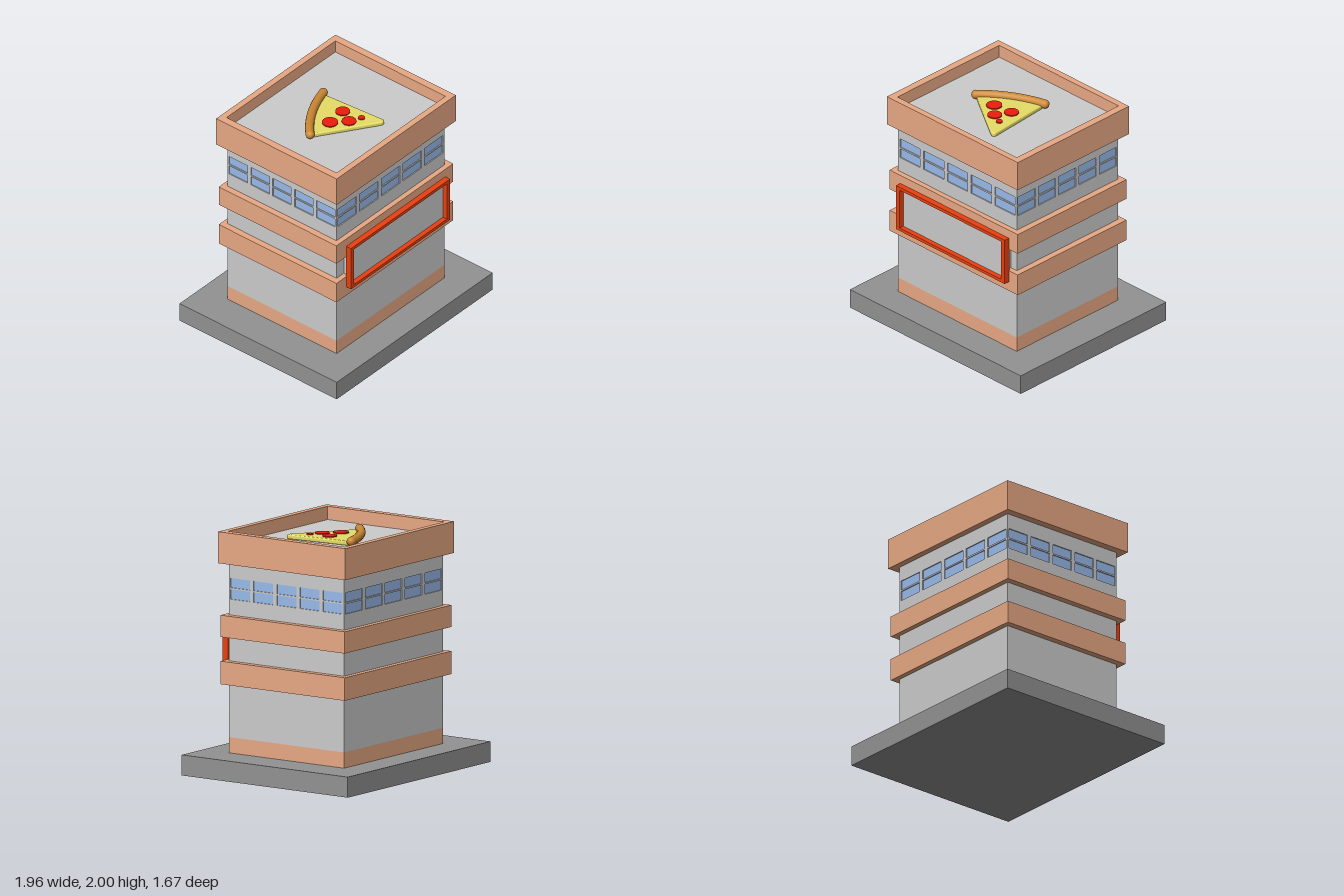
import * as THREE from 'three';

const mat = (color) => new THREE.MeshStandardMaterial({ color });
const GREY = mat(0xcccccc), TERRACOTTA = mat(0xe8a984), STONE = mat(0x929292), GLASS = mat(0x99bbec);
const RED = mat(0xec400f), CRUST = mat(0xcc8833), CHEESE = mat(0xe6dd66), SALAMI = mat(0xec1c0e);

export function createModel() {
  const model = new THREE.Group();
  model.name = 'pizzaTower';

  const add = (parent, name, geometry, material, x = 0, y = 0, z = 0) => {
    const mesh = new THREE.Mesh(geometry, material);
    mesh.name = name;
    mesh.position.set(x, y, z);
    parent.add(mesh);
    return mesh;
  };
  // Box centred on the y axis, given half sizes and height range
  const block = (name, hx, hz, y0, y1, material) =>
    add(model, name, new THREE.BoxGeometry(hx * 2, y1 - y0, hz * 2), material, 0, (y0 + y1) / 2, 0);
  const rect = (path, x0, y0, x1, y1) => {
    path.moveTo(x0, y0).lineTo(x1, y0).lineTo(x1, y1).lineTo(x0, y1).closePath();
    return path;
  };
  // Flat plate with rectangular openings, extruded along +z
  const plate = (outer, holes, depth) => {
    const shape = rect(new THREE.Shape(), ...outer);
    for (const h of holes) shape.holes.push(rect(new THREE.Path(), ...h));
    return new THREE.ExtrudeGeometry(shape, { depth, bevelEnabled: false });
  };

  // Ground slab, plinth and tower
  const HX = 0.68, HZ = 0.58, RECESS = 0.012;
  block('groundSlab', 0.98, 0.835, 0, 0.17, STONE);
  block('plinth', HX, HZ, 0.17, 0.3, TERRACOTTA);
  block('lowerWalls', HX, HZ, 0.3, 1.35, GREY);
  block('upperCore', HX - RECESS, HZ - RECESS, 1.35, 1.8, GREY);
  block('lowerBand', 0.735, 0.625, 0.74, 0.93, TERRACOTTA);
  block('upperBand', 0.735, 0.625, 1.13, 1.31, TERRACOTTA);

  // Window storey: four pierced walls with recessed panes
  const windowWall = (name, half, dist, pitch, width, angle) => {
    const wall = new THREE.Group();
    wall.name = name;
    const openings = [];
    for (let i = -2; i <= 2; i++) {
      for (const [y0, y1] of [[1.44, 1.522], [1.535, 1.615]]) {
        openings.push([i * pitch - width / 2, y0, i * pitch + width / 2, y1]);
        add(wall, 'windowPane', new THREE.BoxGeometry(width, y1 - y0, 0.006), GLASS,
          i * pitch, (y0 + y1) / 2, dist - RECESS);
      }
    }
    add(wall, 'windowSurround', plate([-half, 1.35, half, 1.8], openings, RECESS), GREY, 0, 0, dist - RECESS);
    wall.rotation.y = angle;
    model.add(wall);
  };
  windowWall('frontWindows', HX, HZ, 0.272, 0.232, 0);
  windowWall('backWindows', HX, HZ, 0.272, 0.232, Math.PI);
  windowWall('leftWindows', HZ - RECESS, HX, 0.233, 0.197, Math.PI / 2);
  windowWall('rightWindows', HZ - RECESS, HX, 0.233, 0.197, -Math.PI / 2);

  // Roof and parapet
  const ROOF = 1.89;
  block('roof', 0.69, 0.59, 1.745, ROOF, GREY);
  add(model, 'parapet', plate([-0.75, -0.64, 0.75, 0.64], [[-0.685, -0.585, 0.685, 0.585]], 0.26),
    TERRACOTTA, 0, 1.74, 0).rotation.x = -Math.PI / 2;

  // Framed sign board on the front
  const sign = new THREE.Group();
  sign.name = 'signBoard';
  model.add(sign);
  add(sign, 'signFrame', plate([-0.61, 0.825, 0.635, 1.235], [[-0.57, 0.852, 0.595, 1.207]], 0.055), RED, 0, 0, 0.62);
  add(sign, 'signPanel', new THREE.BoxGeometry(1.2, 0.38, 0.055), GREY, 0.0125, 1.03, 0.605);

  // Pizza slice lying on the roof
  const pizza = new THREE.Group();
  pizza.name = 'pizzaSlice';
  pizza.position.y = ROOF;
  model.add(pizza);

  // Cheese wedge drawn in x and -z, with a rounded tip and edges
  const wedge = new THREE.Shape();
  wedge.moveTo(-0.31, -0.03).lineTo(0.155, -0.338);
  wedge.quadraticCurveTo(0.19, -0.36, 0.185, -0.32);
  wedge.lineTo(0.14, 0.24);
  wedge.quadraticCurveTo(-0.13, 0.16, -0.31, -0.03);
  add(pizza, 'cheese', new THREE.ExtrudeGeometry(wedge, {
    depth: 0.015, bevelThickness: 0.012, bevelSize: 0.012, bevelSegments: 4, curveSegments: 12,
  }), CHEESE, 0, 0.01, 0).rotation.x = -Math.PI / 2;

  // Curved crust with rounded ends
  const R = 0.037;
  const arc = new THREE.QuadraticBezierCurve3(
    new THREE.Vector3(-0.35, 0.04, 0.02), new THREE.Vector3(-0.14, 0.04, -0.19), new THREE.Vector3(0.157, 0.04, -0.267));
  add(pizza, 'crust', new THREE.TubeGeometry(arc, 24, R, 16), CRUST);
  for (const t of [0, 1]) {
    const p = arc.getPoint(t);
    add(pizza, 'crustEnd', new THREE.SphereGeometry(R, 16, 12), CRUST, p.x, p.y, p.z);
  }

  // Salami discs
  for (const [x, z, r] of [[-0.12, 0.038, 0.065], [0.06, 0.02, 0.06], [-0.008, 0.145, 0.06], [0.092, 0.193, 0.028]]) {
    add(pizza, 'salami', new THREE.CylinderGeometry(r, r, 0.018, 32), SALAMI, x, 0.037, z);
  }

  return model;
}
